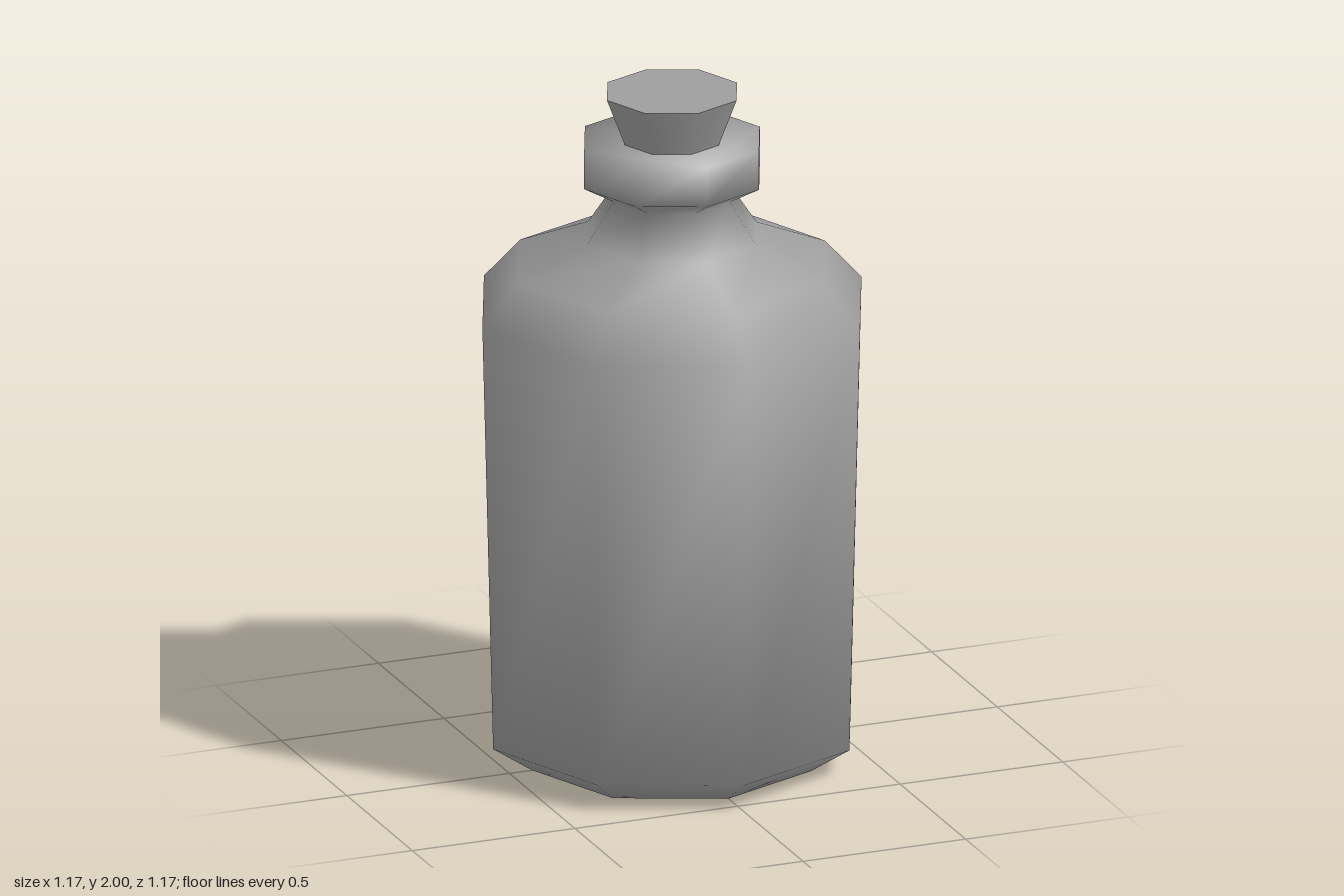
import * as THREE from 'three';

const SIDES = 8;

// Closed turned solid: each ring's normal is the even mean of the bands (or cap) above and below it
function smoothTurned(profile) {
  const positions = [], normals = [], index = [];
  const bands = [new THREE.Vector2(0, -1)];
  for (let k = 1; k < profile.length; k++) {
    const [r0, y0] = profile[k - 1], [r1, y1] = profile[k];
    bands.push(new THREE.Vector2(y1 - y0, r0 - r1).normalize());
  }
  bands.push(new THREE.Vector2(0, 1));

  profile.forEach(([r, y], k) => {
    const n = bands[k].clone().add(bands[k + 1]).normalize();
    for (let i = 0; i < SIDES; i++) {
      const a = (i / SIDES) * Math.PI * 2;
      positions.push(r * Math.sin(a), y, r * Math.cos(a));
      normals.push(n.x * Math.sin(a), n.y, n.x * Math.cos(a));
    }
  });

  const last = (profile.length - 1) * SIDES;
  for (let k = 0; k < last; k += SIDES) {
    for (let i = 0; i < SIDES; i++) {
      const j = (i + 1) % SIDES;
      index.push(k + i, k + j, k + SIDES + j, k + i, k + SIDES + j, k + SIDES + i);
    }
  }
  // bottom and top caps
  for (let i = 1; i < SIDES - 1; i++) {
    index.push(0, i + 1, i);
    index.push(last, last + i, last + i + 1);
  }
  const geometry = new THREE.BufferGeometry();
  geometry.setAttribute('position', new THREE.Float32BufferAttribute(positions, 3));
  geometry.setAttribute('normal', new THREE.Float32BufferAttribute(normals, 3));
  geometry.setIndex(index);
  return geometry;
}

export function createModel() {
  const group = new THREE.Group();
  group.name = 'bottle';
  const material = new THREE.MeshStandardMaterial({ color: 0x9e9e9e });

  // Bottle from base to lip: [radius, height]
  const body = new THREE.Mesh(smoothTurned([
    [0.43, 0], [0.55, 0.08], [0.583, 1.36], [0.47, 1.485],
    [0.26, 1.57], [0.18, 1.69], [0.27, 1.74], [0.27, 1.857],
  ]), material);
  body.name = 'bottleBody';
  group.add(body);

  // Tapered stopper sitting on the lip
  const stopper = new THREE.Mesh(new THREE.CylinderGeometry(0.2, 0.145, 0.143, SIDES), material);
  stopper.name = 'stopper';
  stopper.position.y = 1.9285;
  group.add(stopper);

  return group;
}
